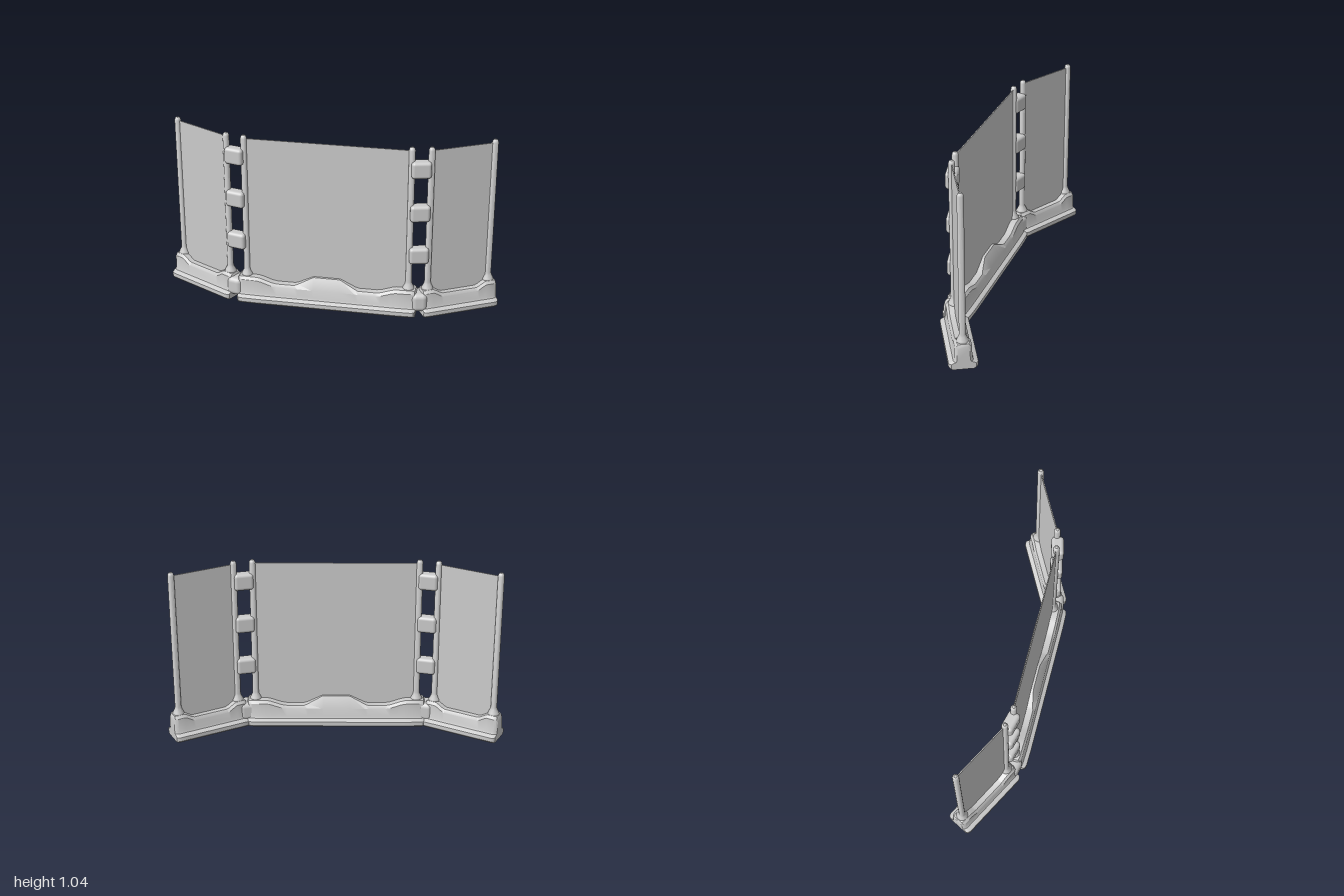
import * as THREE from 'three';
import { toCreasedNormals } from 'three/addons/utils/BufferGeometryUtils.js';
import { RoundedBoxGeometry } from 'three/addons/geometries/RoundedBoxGeometry.js';

const material = new THREE.MeshStandardMaterial({ color: 0xcccccc });

function add(parent, name, geometry, x = 0, y = 0, z = 0, turn = 0) {
  const mesh = new THREE.Mesh(geometry, material);
  mesh.name = name;
  mesh.position.set(x, y, z);
  mesh.rotation.y = turn;
  parent.add(mesh);
  return mesh;
}

// Skin a row of mirrored cross-sections; each half section lists [z, y] from the floor up.
function loft(stations) {
  const positions = [], index = [];
  const n = stations[0].half.length * 2;
  for (const { x, half } of stations) {
    half.forEach(([z, y]) => positions.push(x, y, z));
    [...half].reverse().forEach(([z, y]) => positions.push(x, y, -z));
  }
  for (let i = 0; i < stations.length - 1; i++) {
    for (let j = 0; j < n; j++) {
      const a = i * n + j, b = i * n + (j + 1) % n;
      index.push(a, a + n, b, b, a + n, b + n);
    }
  }
  // End caps, bridged between mirrored points
  const last = (stations.length - 1) * n;
  for (let j = 0; j < n / 2 - 1; j++) {
    const a = j, b = j + 1, c = n - 2 - j, d = n - 1 - j;
    index.push(a, b, c, a, c, d);
    index.push(last + a, last + c, last + b, last + a, last + d, last + c);
  }
  const geometry = new THREE.BufferGeometry();
  geometry.setAttribute('position', new THREE.Float32BufferAttribute(positions, 3));
  geometry.setIndex(index);
  return toCreasedNormals(geometry, 0.6);
}

// Stepped barrier foot; rows are [x, top, inset, bump] for the +x half, running inwards.
function footGeometry(rows, flange, body) {
  const station = ([x, top, inset, bump]) => {
    const w = flange - inset, b = body - inset;
    const shoulder = bump ? 0.108 : top - 0.017;
    return {
      x,
      half: [
        [w - 0.008, 0], [w, 0.01], [w, 0.034], [w - 0.006, 0.038], [b + 0.005, 0.046], [b, 0.058],
        [b - 0.003, shoulder], [bump || b - 0.016, top],
      ],
    };
  };
  const left = rows.map(([x, ...rest]) => [-x, ...rest]);
  return loft([...left, ...[...rows].reverse()].map(station));
}

// Round post with a flared collar and a domed tip
const postProfile = [
  [0, 0.12], [0.034, 0.12], [0.034, 0.158], [0.031, 0.166], [0.021, 0.186], [0.0185, 0.2],
  [0.0185, 1.022], [0.015, 1.034], [0.008, 1.04], [0, 1.04],
].map(([r, y]) => new THREE.Vector2(r, y));
const postGeometry = toCreasedNormals(new THREE.LatheGeometry(postProfile, 16), 0.7);

function section(name, foot, postX) {
  const group = new THREE.Group();
  group.name = name;
  add(group, 'foot', foot);
  add(group, 'screenPanel', new THREE.BoxGeometry(postX * 2, 0.92, 0.006), 0, 0.56, 0);
  for (const side of [-1, 1]) add(group, 'post', postGeometry, side * postX);
  return group;
}

export function createModel() {
  const model = new THREE.Group();
  model.name = 'foldingScreen';

  // Wide centre section with a raised lip in the middle of its foot
  const centreFoot = footGeometry([
    [0.53, 0.142, 0.018], [0.522, 0.153, 0.008], [0.505, 0.156, 0.003], [0.41, 0.156, 0],
    [0.385, 0.15, 0], [0.325, 0.129, 0], [0.295, 0.124, 0], [0.19, 0.124, 0],
    [0.17, 0.13, 0, 0.035], [0.085, 0.172, 0, 0.018], [0.075, 0.175, 0, 0.017],
  ], 0.087, 0.058);
  const centre = section('centreSection', centreFoot, 0.48);
  centre.position.z = 0.0985;
  model.add(centre);

  // Angled wings and the couplings that join them
  const wingFoot = footGeometry([
    [0.233, 0.142, 0.014], [0.226, 0.153, 0.006], [0.212, 0.156, 0],
    [0.165, 0.156, 0], [0.155, 0.152, 0], [0.12, 0.13, 0], [0.105, 0.124, 0],
  ], 0.081, 0.05);
  const clipGeometry = new RoundedBoxGeometry(0.114, 0.1, 0.07, 3, 0.019);
  const knobGeometry = new RoundedBoxGeometry(0.096, 0.114, 0.116, 3, 0.03);
  const angle = 0.49;
  for (const side of [-1, 1]) {
    const wing = section(side > 0 ? 'leftWing' : 'rightWing', wingFoot, 0.19);
    wing.position.set(side * 0.755, 0, -0.012);
    wing.rotation.y = side * angle;
    model.add(wing);
    for (const y of [0.375, 0.642, 0.91]) {
      add(model, 'hingeClip', clipGeometry, side * 0.533, y, 0.095, side * angle / 2);
    }
    add(model, 'footCoupling', knobGeometry, side * 0.541, 0.083, 0.096, side * angle / 2);
  }
  return model;
}
